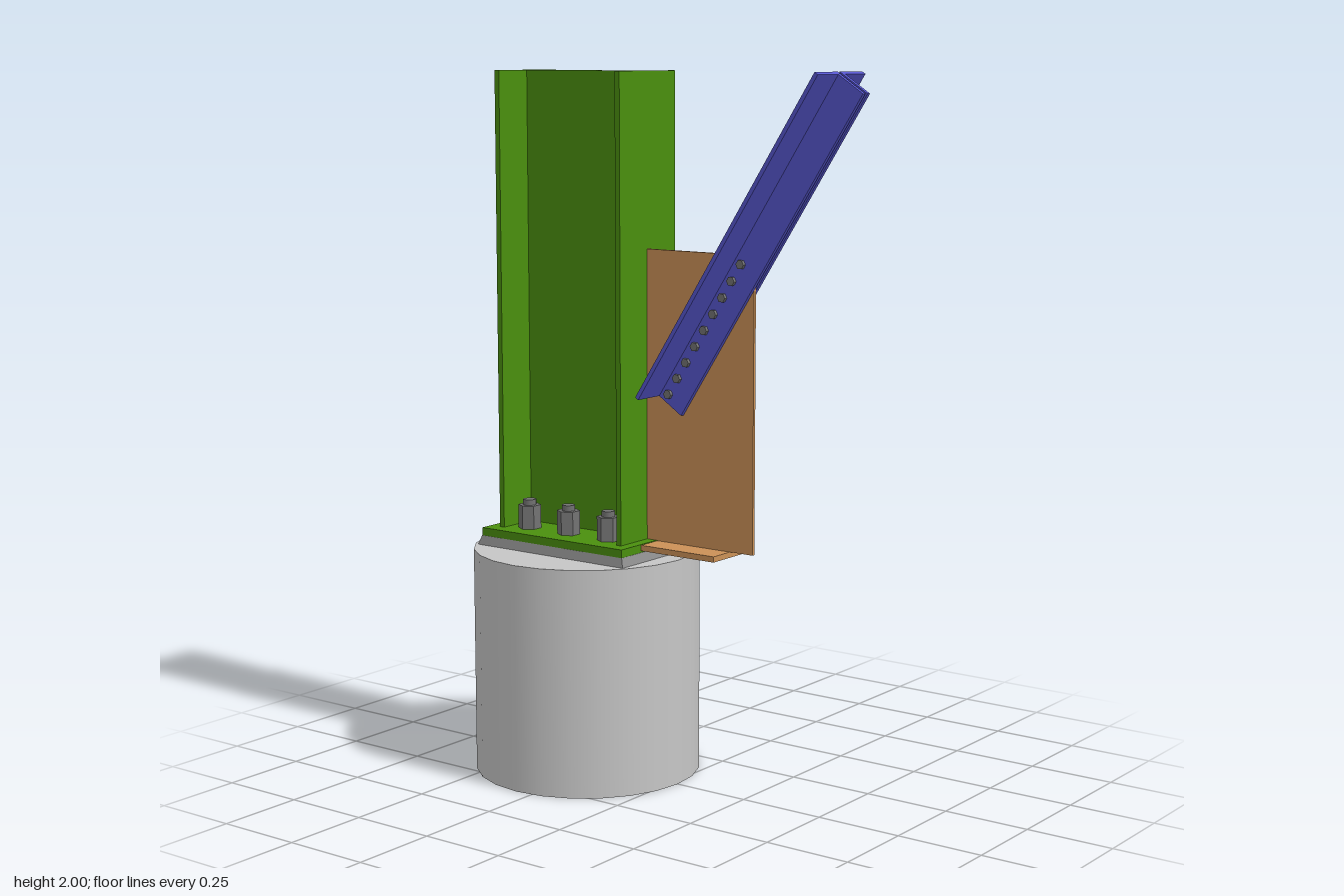
import * as THREE from 'three';

const mat = (name, color) => {
  const m = new THREE.MeshStandardMaterial({ color });
  m.name = name;
  return m;
};

export function createModel() {
  const concrete = mat('concrete', 0xc6c6c6);
  const grout = mat('grout', 0x8c8c8c);
  const green = mat('green steel', 0x4a8f0e);
  const orange = mat('orange steel', 0xcb9157);
  const blue = mat('blue steel', 0x5555cc);
  const boltGrey = mat('bolt grey', 0x737373);

  const model = new THREE.Group();
  model.name = 'columnBaseConnection';
  const CX = -0.303; // column axis

  const add = (parent, name, geometry, material, x = 0, y = 0, z = 0) => {
    const mesh = new THREE.Mesh(geometry, material);
    mesh.name = name;
    mesh.position.set(x, y, z);
    parent.add(mesh);
    return mesh;
  };
  // Extrudes an outline upwards; outline y becomes -z
  const extrudeUp = (points, height) => {
    const shape = new THREE.Shape(points.map(([x, y]) => new THREE.Vector2(x, y)));
    return new THREE.ExtrudeGeometry(shape, { depth: height, bevelEnabled: false }).rotateX(-Math.PI / 2);
  };
  const hex = (r, h) => new THREE.CylinderGeometry(r, r, h, 6).toNonIndexed();
  const flat = (g) => { g.computeVertexNormals(); return g; };

  // Round pedestal
  add(model, 'pedestal', new THREE.CylinderGeometry(0.325, 0.325, 0.65, 24), concrete, CX, 0.325);

  // Grout pad, tapering towards the base plate
  const pad = new THREE.BoxGeometry(0.528, 0.026, 0.346).toNonIndexed();
  const p = pad.attributes.position;
  for (let i = 0; i < p.count; i++) {
    if (p.getY(i) > 0) p.setXYZ(i, p.getX(i) * 0.965, p.getY(i), p.getZ(i) * 0.955);
  }
  add(model, 'groutPad', flat(pad), grout, CX, 0.663);
  add(model, 'basePlate', new THREE.BoxGeometry(0.508, 0.024, 0.33), green, CX, 0.687);

  // I-section column
  const hw = 0.221, hz = 0.125, tf = 0.016, tw = 0.005;
  const column = [
    [-hw, -hz], [-hw + tf, -hz], [-hw + tf, -tw], [hw - tf, -tw], [hw - tf, -hz], [hw, -hz],
    [hw, hz], [hw - tf, hz], [hw - tf, tw], [-hw + tf, tw], [-hw + tf, hz], [-hw, hz],
  ];
  add(model, 'column', extrudeUp(column, 1.301), green, CX, 0.699);

  // Anchor bolts: nut with a rod end on top
  for (const x of [-0.144, 0, 0.144]) {
    for (const z of [-0.083, 0.083]) {
      const anchor = new THREE.Group();
      anchor.name = 'anchorBolt';
      anchor.position.set(CX + x, 0.699, z);
      add(anchor, 'nut', flat(hex(0.033, 0.068)), boltGrey, 0, 0.034);
      add(anchor, 'rodEnd', new THREE.CylinderGeometry(0.019, 0.019, 0.084, 8), boltGrey, 0, 0.042);
      model.add(anchor);
    }
  }

  // Gusset plate with a clipped corner under the brace
  const outline = [[-0.083, 0.698], [0.278, 0.698], [0.278, 1.464], [0.2, 1.515], [-0.083, 1.515]];
  const gusset = new THREE.ExtrudeGeometry(
    new THREE.Shape(outline.map(([x, y]) => new THREE.Vector2(x, y))),
    { depth: 0.009, bevelEnabled: false });
  add(model, 'gussetPlate', gusset, orange, 0, 0, -0.0045);
  add(model, 'gussetFootPlate', new THREE.BoxGeometry(0.248, 0.016, 0.16), orange, 0.078, 0.69);

  // Diagonal brace: two angles back to back around the gusset
  const brace = new THREE.Group();
  brace.name = 'brace';
  brace.position.set(-0.04, 1.118, 0);
  brace.rotation.z = -0.577;
  model.add(brace);
  for (const s of [-1, 1]) {
    const t = 0.012, gap = 0.005, out = 0.113, leg = 0.101;
    const angle = [[0, gap], [leg, gap], [leg, gap + t], [t, gap + t], [t, out], [0, out]]
      .map(([x, y]) => [x, -s * y]);
    add(brace, s > 0 ? 'frontAngle' : 'backAngle', extrudeUp(angle, 1.053), blue);
  }

  // Row of brace bolts, heads on both faces
  const boltGeometry = flat(hex(0.013, 0.054)).rotateX(Math.PI / 2);
  for (let i = 0; i < 9; i++) {
    add(brace, 'braceBolt', boltGeometry, boltGrey, 0.036, 0.025 + i * 0.0554, 0);
  }

  return model;
}
